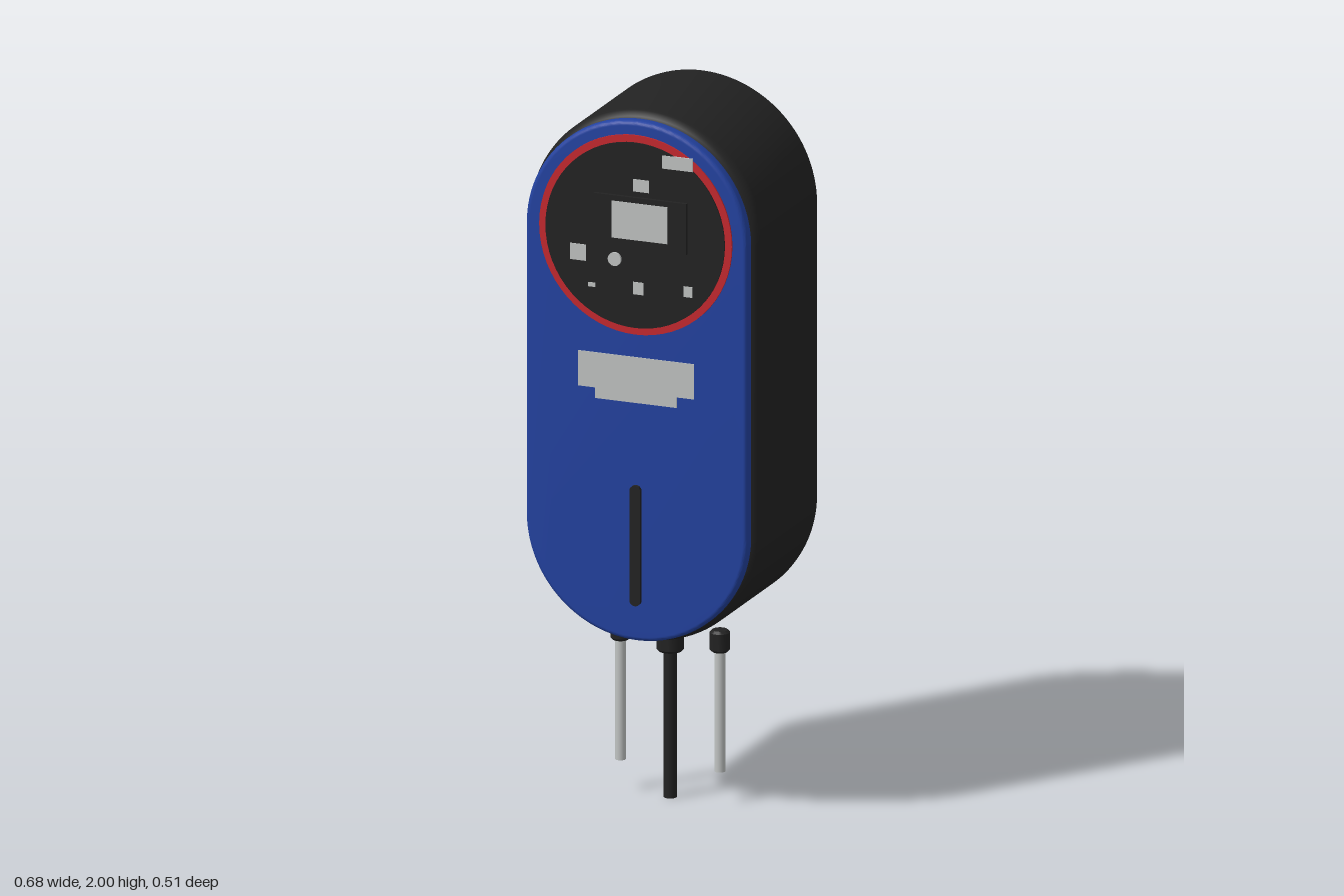
import * as THREE from 'three';
import { toCreasedNormals } from 'three/addons/utils/BufferGeometryUtils.js';

const mat = (name, color) => {
  const m = new THREE.MeshStandardMaterial({ color });
  m.name = name;
  return m;
};

// Upright stadium outline: half width r, arc centres at y0 and y1
function stadium(r, y0, y1) {
  const s = new THREE.Shape();
  s.absarc(0, y1, r, 0, Math.PI, false);
  s.absarc(0, y0, r, Math.PI, Math.PI * 2, false);
  s.closePath();
  return s;
}

// Stadium slab from z0 to z1 with a rounded rim, r is the outer half width
function slab(r, y0, y1, z0, z1, bevel) {
  const g = new THREE.ExtrudeGeometry(stadium(r - bevel, y0, y1), {
    depth: z1 - z0 - 2 * bevel, bevelEnabled: bevel > 0, bevelSize: bevel,
    bevelThickness: bevel, bevelSegments: 5, curveSegments: 40,
  });
  g.translate(0, 0, z0 + bevel);
  return toCreasedNormals(g, 0.6);
}

export function createModel() {
  const model = new THREE.Group();
  model.name = 'wallCharger';
  const black = mat('black', 0x222222);
  const blue = mat('blue', 0x2342a0);
  const red = mat('red', 0xc5282f);
  const silver = mat('silver', 0xc0c3c2);

  const add = (name, geometry, material, parent = model) => {
    const mesh = new THREE.Mesh(geometry, material);
    mesh.name = name;
    parent.add(mesh);
    return mesh;
  };
  // Box given by its extents
  const plate = (name, x0, x1, y0, y1, z0, z1, material) =>
    add(name, new THREE.BoxGeometry(x1 - x0, y1 - y0, z1 - z0), material)
      .position.set((x0 + x1) / 2, (y0 + y1) / 2, (z0 + z1) / 2);
  // Disc facing the front
  const disc = (name, r, x, y, z0, z1, material) => {
    const g = new THREE.CylinderGeometry(r, r, z1 - z0, 64).rotateX(Math.PI / 2);
    add(name, g, material).position.set(x, y, (z0 + z1) / 2);
  };

  // Housing and front cover
  add('housing', slab(0.34, 0.835, 1.66, -0.258, 0.19, 0.035), black);
  add('frontCover', slab(0.325, 0.835, 1.66, 0.189, 0.23, 0.012), blue);

  // Round display with red rim
  disc('displayRim', 0.283, 0, 1.665, 0.229, 0.235, red);
  disc('displayFace', 0.263, 0, 1.665, 0.234, 0.239, black);
  plate('screenFrame', -0.117, 0.155, 1.63, 1.775, 0.238, 0.25, black);
  plate('screen', -0.063, 0.1, 1.655, 1.76, 0.249, 0.251, silver);

  // Display symbols: x0, x1, y0, y1
  [
    [0.08, 0.17, 1.865, 1.902],
    [-0.005, 0.042, 1.79, 1.825],
    [-0.19, -0.143, 1.576, 1.622],
    [-0.137, -0.116, 1.505, 1.517],
    [-0.005, 0.026, 1.498, 1.533],
    [0.143, 0.169, 1.508, 1.538],
  ].forEach((b) => plate('displaySymbol', ...b, 0.236, 0.241, silver));
  disc('indicatorButton', 0.019, -0.058, 1.592, 0.238, 0.246, silver);

  // Label below the display
  plate('label', -0.17, 0.17, 1.217, 1.317, 0.229, 0.232, silver);
  plate('labelLowerStrip', -0.12, 0.12, 1.187, 1.217, 0.229, 0.232, silver);

  // Vertical slot
  add('slot', slab(0.016, 0.628, 0.938, 0.229, 0.24, 0), black);

  // Cable with its gland, hanging from the underside
  const lead = (name, x, glandR, glandY0, glandY1, r, y0, material) => {
    const group = new THREE.Group();
    group.name = name;
    group.position.set(x, 0, -0.01);
    model.add(group);
    const c = 0.007;
    const profile = [
      [0, glandY0], [glandR - c, glandY0], [glandR, glandY0 + c],
      [glandR, glandY1 - c], [glandR - c, glandY1], [0, glandY1],
    ].map(([a, b]) => new THREE.Vector2(a, b));
    add('gland', toCreasedNormals(new THREE.LatheGeometry(profile, 24), 0.6), black, group);
    const length = glandY0 + 0.01 - y0;
    add('cable', new THREE.CylinderGeometry(r, r, length, 24), material, group)
      .position.y = y0 + length / 2;
  };
  lead('mainCable', 0, 0.038, 0.415, 0.51, 0.018, 0, black);
  for (const side of [-1, 1])
    lead(side > 0 ? 'leftCable' : 'rightCable', side * 0.146, 0.028, 0.43, 0.492, 0.015, 0.09, silver);

  return model;
}
